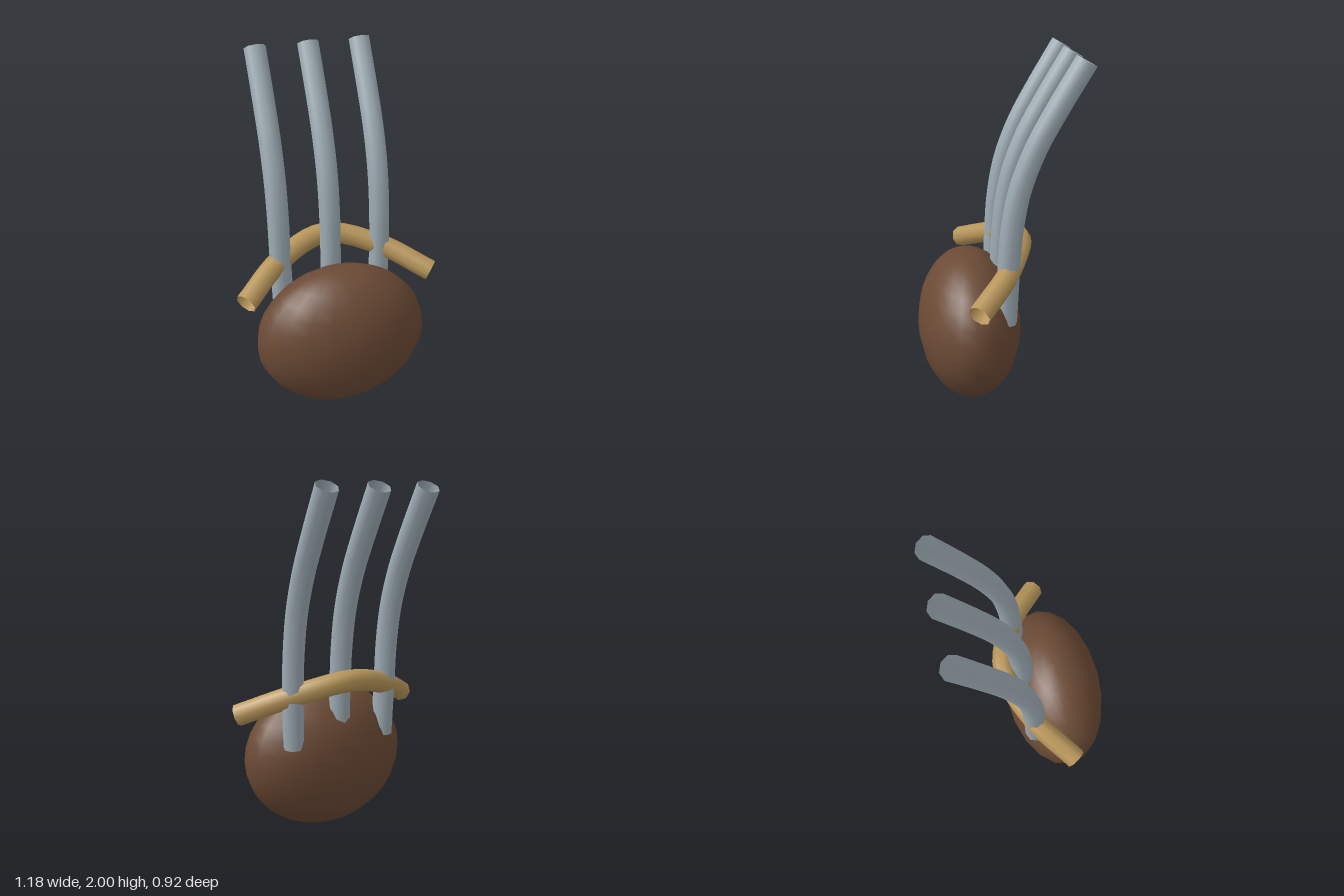
import * as THREE from 'three';

const material = (color) => new THREE.MeshStandardMaterial({ color, side: THREE.DoubleSide });

// Open-ended eight-sided tube through a few points
function tube(name, points, segments, mat) {
  const curve = new THREE.CatmullRomCurve3(points.map((p) => new THREE.Vector3(...p)));
  const mesh = new THREE.Mesh(new THREE.TubeGeometry(curve, segments, 0.062, 8, false), mat);
  mesh.name = name;
  return mesh;
}

export function createModel() {
  const model = new THREE.Group();
  model.name = 'model';
  const brown = material(0x6b4a35);
  const tan = material(0xb8965a);
  const steel = material(0x9eacb4);

  // Flattened egg-shaped body
  const body = new THREE.Mesh(new THREE.SphereGeometry(1, 20, 16), brown);
  body.name = 'body';
  body.scale.set(0.498, 0.425, 0.297);
  body.position.set(0, 0.425, 0.165);
  model.add(body);

  // Curved crossbar, arching up and back behind the body
  model.add(tube('crossbar', [
    [-0.55, 0.733, 0.163], [-0.3, 0.853, -0.03], [0, 0.925, -0.133],
    [0.3, 0.853, -0.03], [0.55, 0.733, 0.163],
  ], 24, tan));

  // Three tall pipes sweeping backward
  const sweep = [
    [0.55, -0.012], [0.89, -0.026], [1.1, -0.042], [1.317, -0.082],
    [1.53, -0.16], [1.72, -0.26], [1.972, -0.408],
  ];
  [['rightPipe', -1], ['middlePipe', 0], ['leftPipe', 1]].forEach(([name, side]) => {
    const path = sweep.map(([y, z], i) => [side * (i === 0 ? 0.292 : 0.3), y, z]);
    model.add(tube(name, path, 24, steel));
  });

  return model;
}
